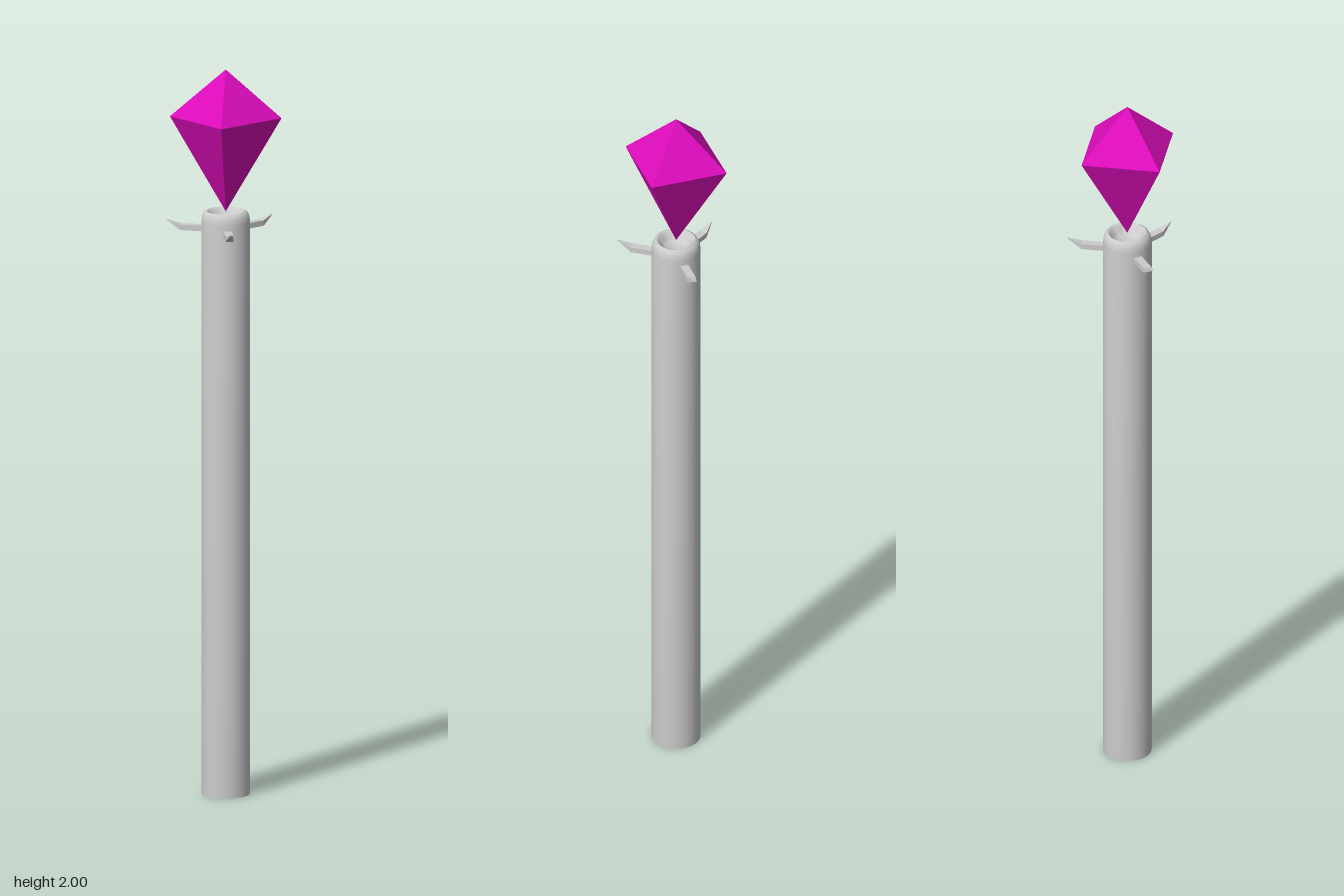
import * as THREE from 'three';
import { toCreasedNormals } from 'three/addons/utils/BufferGeometryUtils.js';

const lathe = (profile, sides) =>
  new THREE.LatheGeometry(profile.map(([r, y]) => new THREE.Vector2(r, y)), sides);

// Square prong along +x whose outer end tapers to a raised point
function prongGeometry() {
  const start = 0.045, bend = 0.125, tip = 0.165;
  const geometry = new THREE.BoxGeometry(2, 0.015, 0.022, 2, 1, 1);
  const p = geometry.attributes.position;
  for (let i = 0; i < p.count; i++) {
    const x = p.getX(i);
    if (x > 0.5) p.setXYZ(i, tip, 0.018 + p.getY(i) * 0.1, p.getZ(i) * 0.05);
    else p.setX(i, x < -0.5 ? start : bend);
  }
  geometry.computeVertexNormals();
  return geometry;
}

export function createModel() {
  const model = new THREE.Group();
  model.name = 'staff';
  const grey = new THREE.MeshStandardMaterial({ color: 0xcccccc });
  const greyFlat = new THREE.MeshStandardMaterial({ color: 0xcccccc, flatShading: true });
  const magenta = new THREE.MeshStandardMaterial({ color: 0xdd0cbb, flatShading: true });

  const add = (name, geometry, material) => {
    const mesh = new THREE.Mesh(geometry, material);
    mesh.name = name;
    model.add(mesh);
    return mesh;
  };

  // Shaft with a rounded rim and a shallow dish in its top
  const shaft = lathe([
    [0, 0], [0.066, 0], [0.066, 1.58], [0.064, 1.595], [0.059, 1.606], [0.052, 1.61],
    [0.046, 1.606], [0.04, 1.595], [0.03, 1.585], [0, 1.58],
  ], 32);
  add('shaft', toCreasedNormals(shaft, 0.8), grey);

  // Four-sided crystal balanced on its point
  add('crystal', lathe([[0, 1.608], [0.151, 1.868], [0, 2]], 4), magenta);

  // Three prongs around the shaft, just below the rim
  const prong = prongGeometry();
  [45, 170, -81].forEach((degrees, i) => {
    const mesh = add(`prong${i + 1}`, prong, greyFlat);
    mesh.position.y = 1.559;
    mesh.rotation.y = THREE.MathUtils.degToRad(degrees);
  });

  // The prongs reach unevenly, so the axis sits slightly off centre
  model.position.set(0.006, 0, -0.008);
  return model;
}
